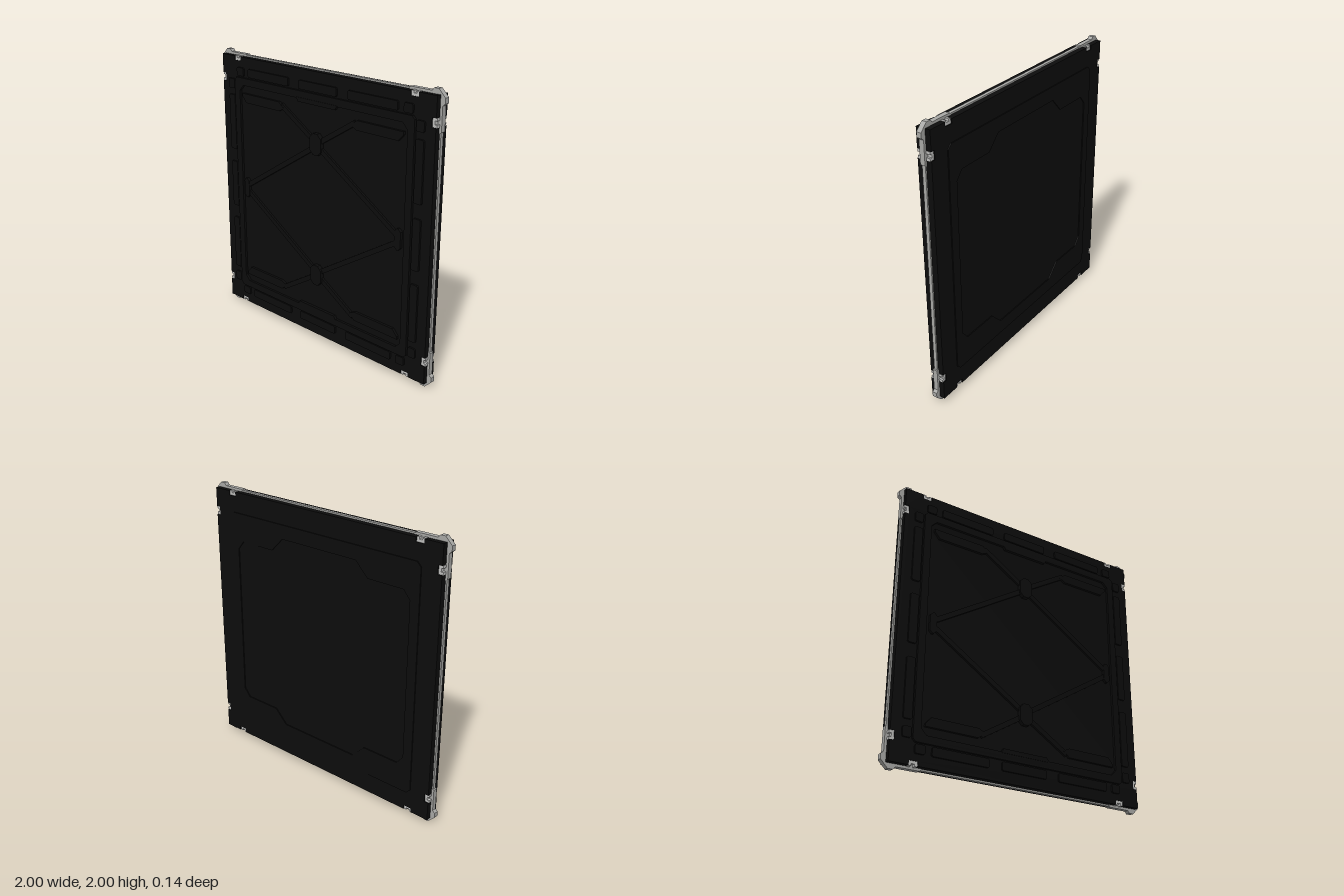
import * as THREE from 'three';

const black = new THREE.MeshStandardMaterial({ name: 'matte black', color: 0x0c0c0c });
const silver = new THREE.MeshStandardMaterial({ name: 'rim silver', color: 0xa8a8a5 });
const pale = new THREE.MeshStandardMaterial({ name: 'clip silver', color: 0xc0c0be });

// Outline from points; all shapes are centred on the panel middle.
const outline = (pts, T = THREE.Shape) => new T(pts.map(([x, y]) => new THREE.Vector2(x, y)));

// Plate filling z0..z1, with optional holes.
function plate(name, pts, z0, z1, material, holes = []) {
  const shape = outline(pts);
  holes.forEach((h) => shape.holes.push(outline(h, THREE.Path)));
  const geo = new THREE.ExtrudeGeometry(shape, { depth: z1 - z0, bevelEnabled: false });
  geo.translate(0, 0, z0);
  const mesh = new THREE.Mesh(geo, material);
  mesh.name = name;
  return mesh;
}

// Rectangle with chamfered corners.
function rect(cx, cy, w, h, c = 0) {
  const x = w / 2, y = h / 2;
  const p = c
    ? [[-x + c, -y], [x - c, -y], [x, -y + c], [x, y - c], [x - c, y], [-x + c, y], [-x, y - c], [-x, -y + c]]
    : [[-x, -y], [x, -y], [x, y], [-x, y]];
  return p.map(([a, b]) => [a + cx, b + cy]);
}

// Straight beam between two points.
function bar(a, b, w) {
  const dx = b[0] - a[0], dy = b[1] - a[1], l = Math.hypot(dx, dy);
  const nx = (-dy / l) * w / 2, ny = (dx / l) * w / 2;
  return [[a[0] - nx, a[1] - ny], [b[0] - nx, b[1] - ny], [b[0] + nx, b[1] + ny], [a[0] + nx, a[1] + ny]];
}

const turn = (pts, q) => pts.map(([x, y]) => {
  for (let i = 0; i < q; i++) [x, y] = [-y, x];
  return [x, y];
});
const flip = (pts, sx, sy) => pts.map(([x, y]) => [x * sx, y * sy]);

export function createModel() {
  const group = new THREE.Group();
  const body = new THREE.Group();
  body.name = 'wallPanel';
  body.position.y = 1;
  group.add(body);
  const add = (...args) => body.add(plate(...args));

  // Silver core sheet showing as a rim all round
  add('rim', rect(0, 0, 1.95, 1.95), -0.022, 0.002, silver);

  // Two black slabs with edge notches for the clips
  const side = [];
  const e = 0.965;
  side.push([-e, e]);
  for (const s of [-0.8, 0.8]) side.push([s - 0.03, e], [s - 0.03, e - 0.03], [s + 0.03, e - 0.03], [s + 0.03, e]);
  const slab = [0, 1, 2, 3].flatMap((q) => turn(side, 4 - q));
  add('frontSlab', slab, 0, 0.04, black);
  add('backSlab', slab, -0.062, -0.02, black);

  // Clips: small open brackets in every notch
  const clip = [[-0.03, -0.03], [0.03, -0.03], [0.03, 0.003], [0.012, 0.003], [0.012, -0.012],
    [-0.012, -0.012], [-0.012, 0.003], [-0.03, 0.003]];
  for (let q = 0; q < 4; q++) {
    for (const s of [-0.8, 0.8]) {
      const pts = turn(clip.map(([x, y]) => [x + s, y + e]), q);
      add('clipFront', pts, 0.008, 0.035, pale);
      add('clipBack', pts, -0.055, -0.028, pale);
    }
  }

  // Corner guards with chamfered lugs and long thin arms
  const guard = [[0.72, 0.95], [0.95, 0.95], [0.95, 0.72], [0.982, 0.74], [0.982, 0.9], [1, 0.915],
    [1, 0.95], [0.95, 1], [0.915, 1], [0.9, 0.982], [0.74, 0.982]];
  for (const sx of [-1, 1]) for (const sy of [-1, 1]) {
    add('cornerGuard', flip(guard, sx, sy), -0.026, 0.008, silver);
  }

  // Front border: raised pads along each side and at the corners
  for (let q = 0; q < 4; q++) {
    for (const [c, w] of [[-0.478, 0.41], [0, 0.35], [0.478, 0.41]]) {
      add('borderPad', turn(rect(c, 0.86, w, 0.06, 0.008), q), 0.04, 0.053, black);
    }
    add('cornerPad', turn(rect(0.765, 0.86, 0.07, 0.06, 0.008), q), 0.04, 0.053, black);
    add('cornerPadInner', turn(rect(-0.765, 0.86, 0.07, 0.06, 0.008), q), 0.04, 0.053, black);
  }

  // Front frame with a chamfered window
  add('frontFrame', rect(0, 0, 1.64, 1.64, 0.02), 0.04, 0.057, black, [rect(0, 0, 1.535, 1.535, 0.04)]);

  // Front bracing: diamond beams, nodes and corner plates
  const gusset = [[0.36, 0.645], [0.7, 0.645], [0.74, 0.69], [0.74, 0.71], [0.36, 0.71], [0.31, 0.67]];
  for (const s of [-1, 1]) {
    for (const t of [-1, 1]) {
      add('diamondBeam', bar([s * 0.7, t * 0.03], [s * 0.03, t * 0.45], 0.035), 0.04, 0.056, black);
      add('upperBeam', bar([s * 0.03, t * 0.5], [s * 0.34, t * 0.69], 0.035), 0.04, 0.056, black);
      add('gusset', flip(gusset, s, t), 0.04, 0.058, black);
    }
    add('sideNode', rect(s * 0.72, 0, 0.05, 0.15, 0.02), 0.04, 0.06, black);
    add('centreNode', rect(0, s * 0.48, 0.1, 0.15, 0.03), 0.04, 0.07, black);
    add('edgeTab', [[-0.19, s * 0.775], [-0.17, s * 0.745], [0.17, s * 0.745], [0.19, s * 0.775]], 0.04, 0.06, black);
  }

  // Back frame: stepped window, higher in the middle and lower at the ends
  const quarter = [[0.75, 0.56], [0.7, 0.62], [0.42, 0.62], [0.32, 0.72]];
  const half = [...quarter, ...flip(quarter, -1, 1).reverse()];
  const windowEdge = [...half, ...flip(half, 1, -1).reverse()];
  add('backFrame', rect(0, 0, 1.64, 1.64, 0.03), -0.069, -0.062, black, [windowEdge]);

  return group;
}
